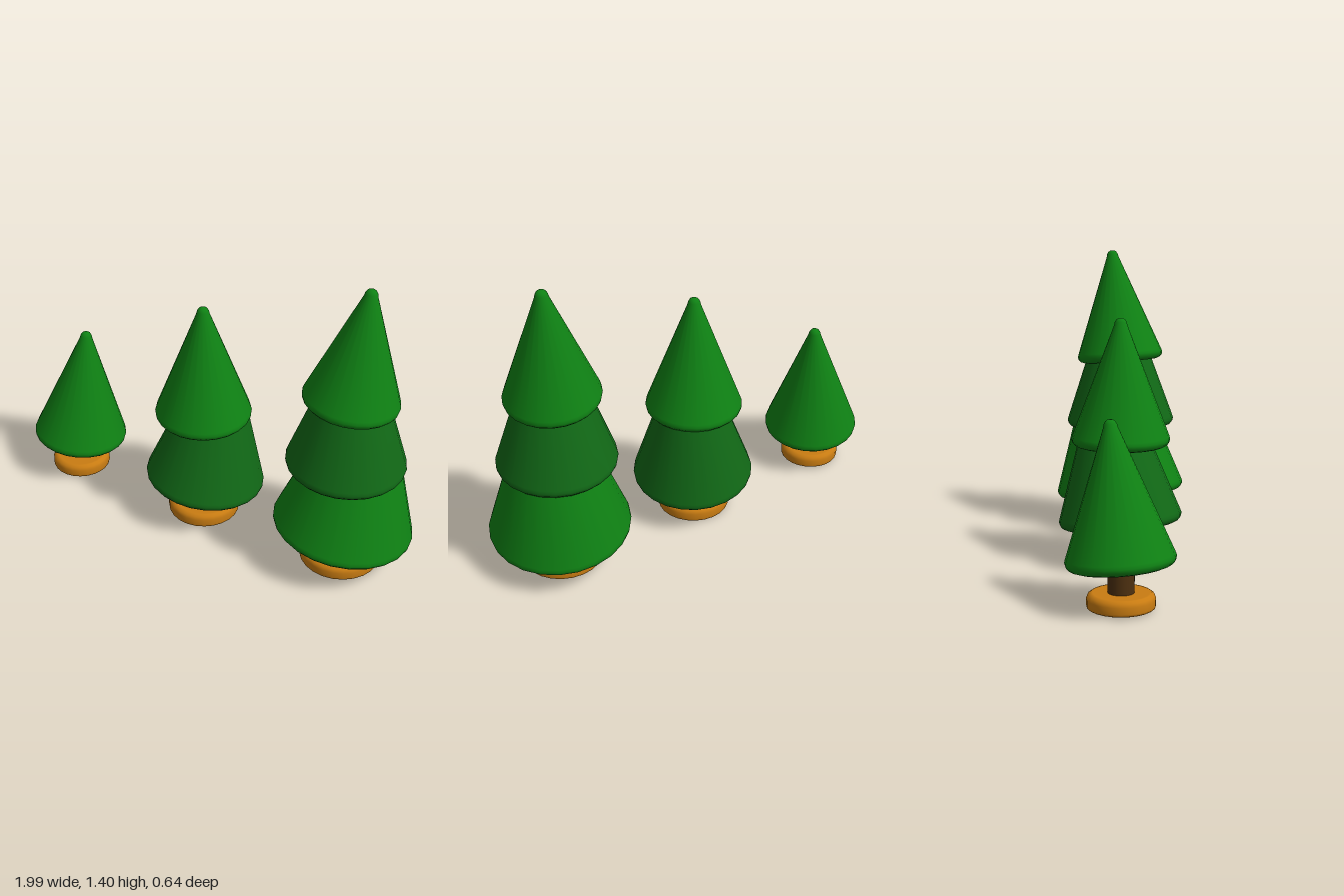
import * as THREE from 'three';

const SIDES = 24;
const mat = (color) => new THREE.MeshStandardMaterial({ color, roughness: 0.8 });

// Revolve a [radius, height] profile, listed from the bottom axis point upward
function lathe(name, profile, material) {
  const points = profile.map(([r, y]) => new THREE.Vector2(r, y));
  const mesh = new THREE.Mesh(new THREE.LatheGeometry(points, SIDES), material);
  mesh.name = name;
  return mesh;
}

// Rounded lower rim shared by all foliage tiers
const rim = (r) => [[0, 0], [r - 0.036, 0], [r - 0.03, 0], [r - 0.014, 0.006], [r - 0.003, 0.018], [r, 0.032], [r - 0.004, 0.046]];

// Pointed top tier with a rounded tip
function tipProfile(r, h) {
  return [...rim(r), [0.03, h - 0.032], [0.027, h - 0.018], [0.02, h - 0.006], [0.01, h], [0, h]];
}

// Truncated lower tier
function skirtProfile(r, h, topR) {
  return [...rim(r), [topR, h - 0.01], [topR - 0.01, h], [topR - 0.016, h], [0, h]];
}

// Round stand with softened edges
function standProfile(r, h) {
  return [[0, 0], [r - 0.014, 0], [r - 0.008, 0], [r - 0.002, 0.004], [r, 0.012],
    [r, h - 0.024], [r - 0.006, h - 0.009], [r - 0.018, h - 0.001], [r - 0.026, h], [0, h]];
}

// tiers: r = radius, y = underside height, h = height, top = upper radius, tilt = lean to +x and -z
const TREES = [
  {
    name: 'smallTree', x: -0.775, standR: 0.142, standY: 0.007, trunkR: 0.055,
    tiers: [{ r: 0.228, y: 0.175, h: 0.597, tilt: 0.075, x: 0.003 }],
  },
  {
    name: 'mediumTree', x: -0.055, standR: 0.171, standY: 0, trunkR: 0.064,
    tiers: [
      { r: 0.283, y: 0.172, h: 0.45, top: 0.148, tilt: 0.085, x: 0.004, dark: true },
      { r: 0.225, y: 0.54, h: 0.58, tilt: 0, x: 0 },
    ],
  },
  {
    name: 'largeTree', x: 0.671, standR: 0.189, standY: 0, trunkR: 0.072,
    tiers: [
      { r: 0.323, y: 0.162, h: 0.42, top: 0.198, tilt: 0.085, x: 0.002 },
      { r: 0.27, y: 0.516, h: 0.39, top: 0.151, tilt: 0.022, x: -0.002, dark: true },
      { r: 0.215, y: 0.846, h: 0.558, tilt: 0.076, x: 0 },
    ],
  },
];

export function createModel() {
  const model = new THREE.Group();
  model.name = 'pineTrees';
  const brightGreen = mat(0x0f8214);
  const darkGreen = mat(0x116816);
  const bark = mat(0x4d3010);
  const wood = mat(0xc97c12);

  for (const t of TREES) {
    const tree = new THREE.Group();
    tree.name = t.name;
    tree.position.x = t.x;

    // Stand and trunk
    const stand = lathe('stand', standProfile(t.standR, 0.065 - t.standY * 0.3), wood);
    stand.position.y = t.standY;
    const trunkH = t.tiers[0].y + 0.05 - 0.05;
    const trunk = new THREE.Mesh(new THREE.CylinderGeometry(t.trunkR, t.trunkR, trunkH, SIDES), bark);
    trunk.name = 'trunk';
    trunk.position.y = 0.05 + trunkH / 2;
    tree.add(stand, trunk);

    // Foliage tiers, from the bottom up
    t.tiers.forEach((f, i) => {
      const profile = f.top ? skirtProfile(f.r, f.h, f.top) : tipProfile(f.r, f.h);
      const tier = lathe(`foliageTier${i + 1}`, profile, f.dark ? darkGreen : brightGreen);
      tier.position.set(f.x, f.y, 0);
      tier.rotation.set(-f.tilt, 0, -f.tilt);
      tree.add(tier);
    });
    model.add(tree);
  }
  return model;
}
